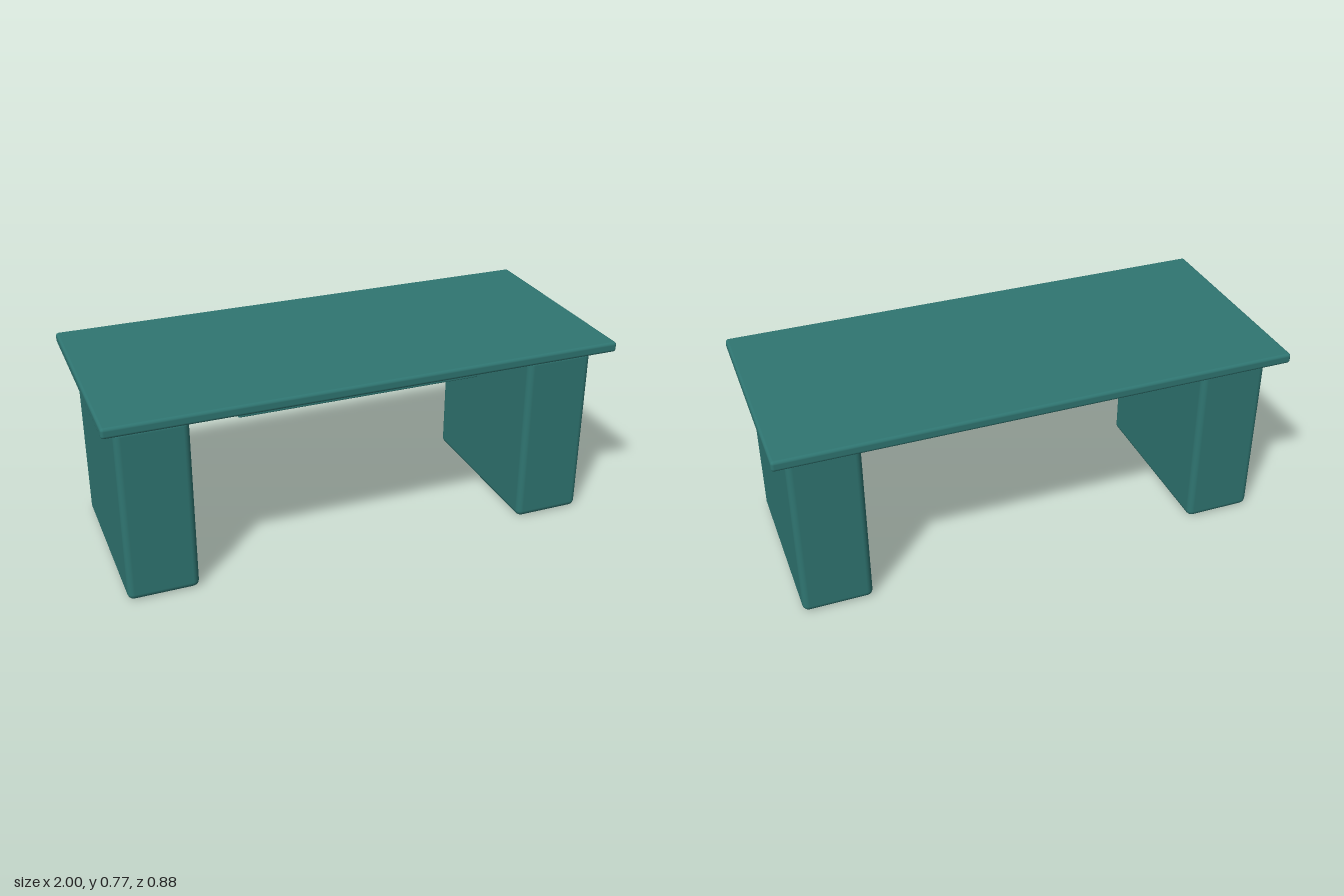
import * as THREE from 'three';
import { RoundedBoxGeometry } from 'three/addons/geometries/RoundedBoxGeometry.js';

export function createModel() {
  const desk = new THREE.Group();
  desk.name = 'desk';
  const teal = new THREE.MeshStandardMaterial({ color: 0x2f7571 });
  teal.name = 'teal';

  // Rounded block given by its extents on each axis
  function block(name, [x0, x1], [y0, y1], [z0, z1], radius) {
    const geometry = new RoundedBoxGeometry(x1 - x0, y1 - y0, z1 - z0, 3, radius);
    const mesh = new THREE.Mesh(geometry, teal);
    mesh.name = name;
    mesh.position.set((x0 + x1) / 2, (y0 + y1) / 2, (z0 + z1) / 2);
    desk.add(mesh);
  }

  // Thin top, floating slightly above the pedestals
  block('tabletop', [-1, 1], [0.725, 0.766], [-0.44, 0.44], 0.012);

  // Pedestal legs
  block('leftLeg', [0.67, 0.942], [0, 0.705], [-0.36, 0.36], 0.025);
  block('rightLeg', [-0.946, -0.674], [0, 0.705], [-0.36, 0.36], 0.025);

  // Shallow drawer hung under the top, with a slim pull
  block('drawer', [-0.482, 0.477], [0.645, 0.725], [-0.247, 0.298], 0.004);
  block('drawerHandle', [-0.066, 0.06], [0.681, 0.693], [0.29, 0.308], 0.004);

  return desk;
}
